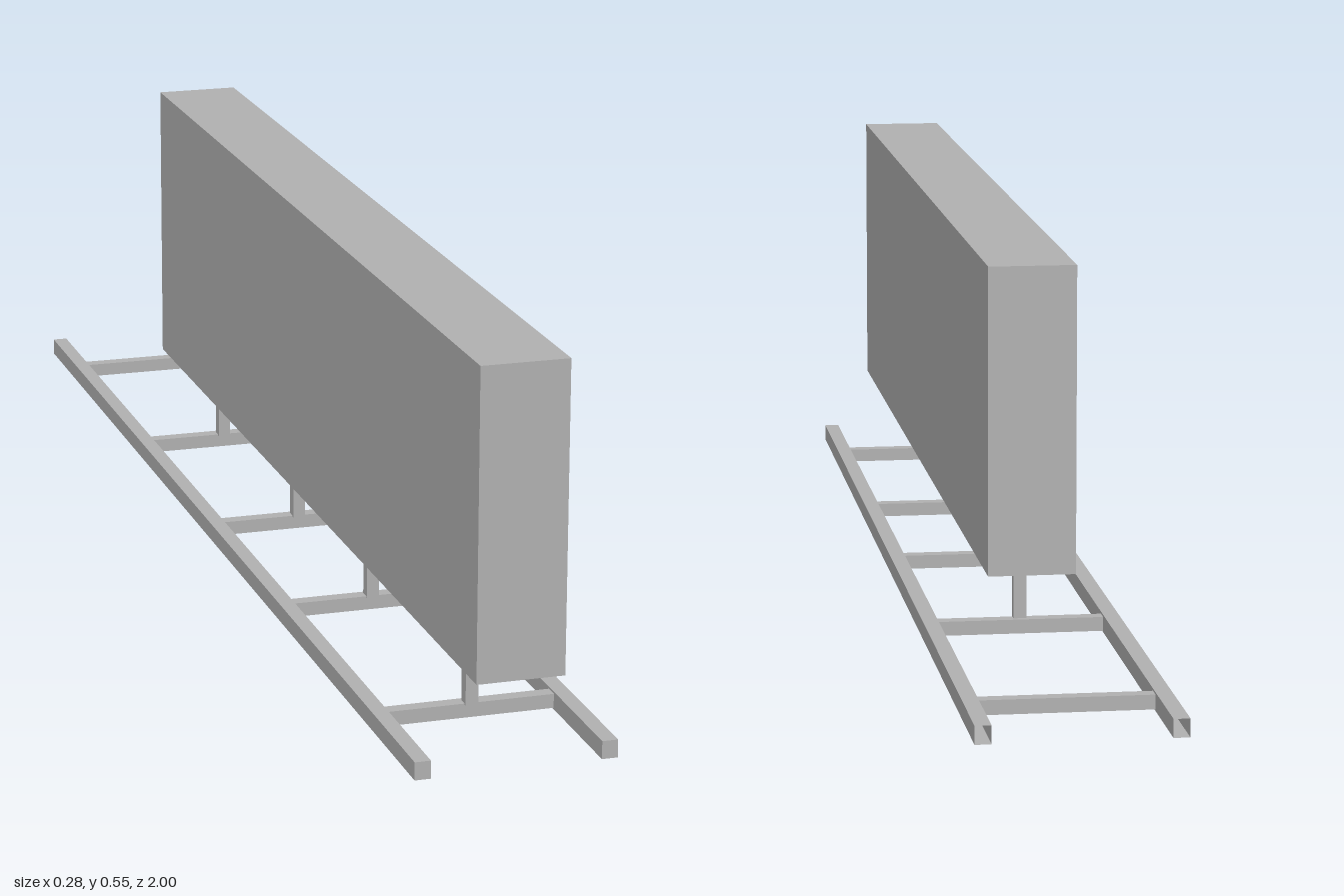
import * as THREE from 'three';

export function createModel() {
  const model = new THREE.Group();
  const grey = new THREE.MeshStandardMaterial({ color: 0xb2b2b2 });
  grey.name = 'grey';
  const greyOpen = new THREE.MeshStandardMaterial({ color: 0xb2b2b2, side: THREE.DoubleSide });
  greyOpen.name = 'grey open tube';

  // Box given by its minimum and maximum along each axis
  function box(name, [x0, x1], [y0, y1], [z0, z1], material = grey) {
    const geometry = new THREE.BoxGeometry(x1 - x0, y1 - y0, z1 - z0);
    const mesh = new THREE.Mesh(geometry, material);
    mesh.position.set((x0 + x1) / 2, (y0 + y1) / 2, (z0 + z1) / 2);
    mesh.name = name;
    model.add(mesh);
    return mesh;
  }
  const around = (centre, width) => [centre - width / 2, centre + width / 2];

  // Upright slab
  box('panel', [-0.055, 0.066], [0.12, 0.547], [-0.582, 0.995]);

  // Long base rails: tubes closed in front and open at the back
  for (const side of [-1, 1]) {
    const rail = box(side > 0 ? 'leftRail' : 'rightRail',
      around(side * 0.128, 0.022), [0, 0.025], [-1, 1], greyOpen);
    // The last six indices of a box are its -z face
    const index = Array.from(rail.geometry.index.array).slice(0, 30);
    rail.geometry.setIndex(index);
    rail.geometry.clearGroups();
  }

  // Cross bars between the rails
  for (const z of [0.805, 0.368, -0.003, -0.423, -0.855]) {
    box('crossBar', [-0.118, 0.118], [0.002, 0.022], around(z, 0.02));
  }

  // Posts carrying the panel
  for (const z of [0.81, 0.372, 0.002, -0.416]) {
    box('post', around(0, 0.018), [0.02, 0.121], around(z, 0.018));
  }

  return model;
}
